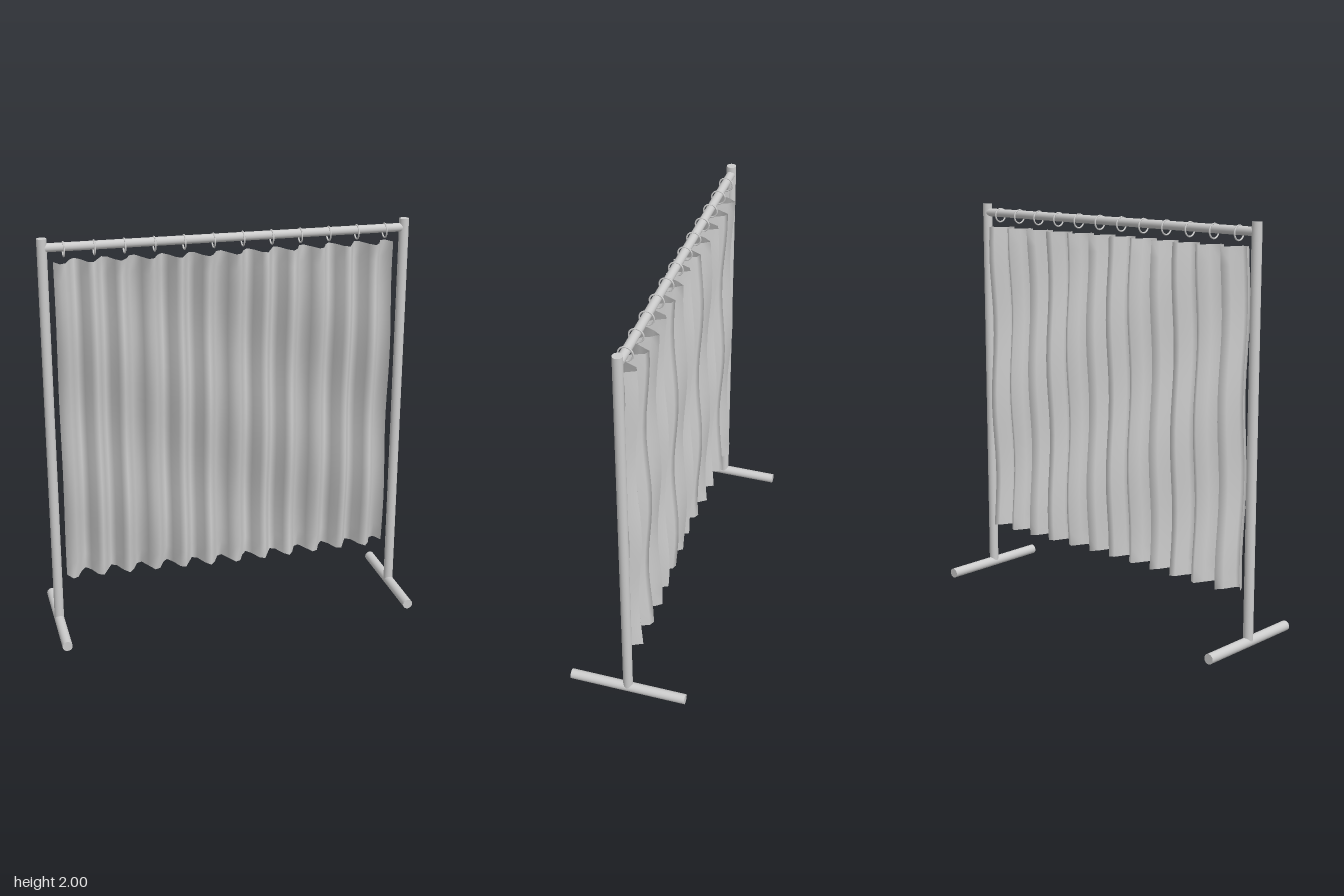
import * as THREE from 'three';

export function createModel() {
  const model = new THREE.Group();
  const metal = new THREE.MeshStandardMaterial({ color: 0xcccccc });
  metal.name = 'grey metal';
  const cloth = new THREE.MeshStandardMaterial({ color: 0xcccccc, side: THREE.DoubleSide });
  cloth.name = 'grey cloth';

  const add = (name, geometry, material, x = 0, y = 0, z = 0) => {
    const mesh = new THREE.Mesh(geometry, material);
    mesh.name = name;
    mesh.position.set(x, y, z);
    model.add(mesh);
    return mesh;
  };

  // Upright posts standing on floor bars
  for (const [side, x] of [['left', 0.89], ['right', -0.89]]) {
    add(side + 'Post', new THREE.CylinderGeometry(0.024, 0.024, 1.974, 20), metal, x, 1.013);
    add(side + 'Foot', new THREE.CylinderGeometry(0.025, 0.025, 0.59, 20), metal, x, 0.025)
      .rotation.x = Math.PI / 2;
  }

  // Top rail
  add('rail', new THREE.CylinderGeometry(0.021, 0.021, 1.78, 20), metal, 0, 1.956)
    .rotation.z = Math.PI / 2;

  // Hanging rings
  const ringCount = 12;
  const ringGeometry = new THREE.TorusGeometry(0.034, 0.004, 8, 24);
  for (let i = 0; i < ringCount; i++) {
    const x = -0.79 + (1.58 * i) / (ringCount - 1);
    add('ring' + (i + 1), ringGeometry, metal, x, 1.945).rotation.y = Math.PI / 2;
  }

  // Pleated curtain: twelve folds across, with a slow ripple down the height
  const width = 1.68, height = 1.62, folds = 12;
  const curtain = new THREE.PlaneGeometry(width, height, 64, 20);
  const p = curtain.attributes.position;
  for (let i = 0; i < p.count; i++) {
    const x = p.getX(i), y = p.getY(i);
    const fold = Math.sin((x / width + 0.5) * folds * Math.PI * 2);
    p.setZ(i, 0.056 * fold + 0.011 * Math.sin(y * 7.8 + x * 5 + 1.6));
  }
  curtain.computeVertexNormals();
  add('curtain', curtain, cloth, 0, 1.075);

  return model;
}
